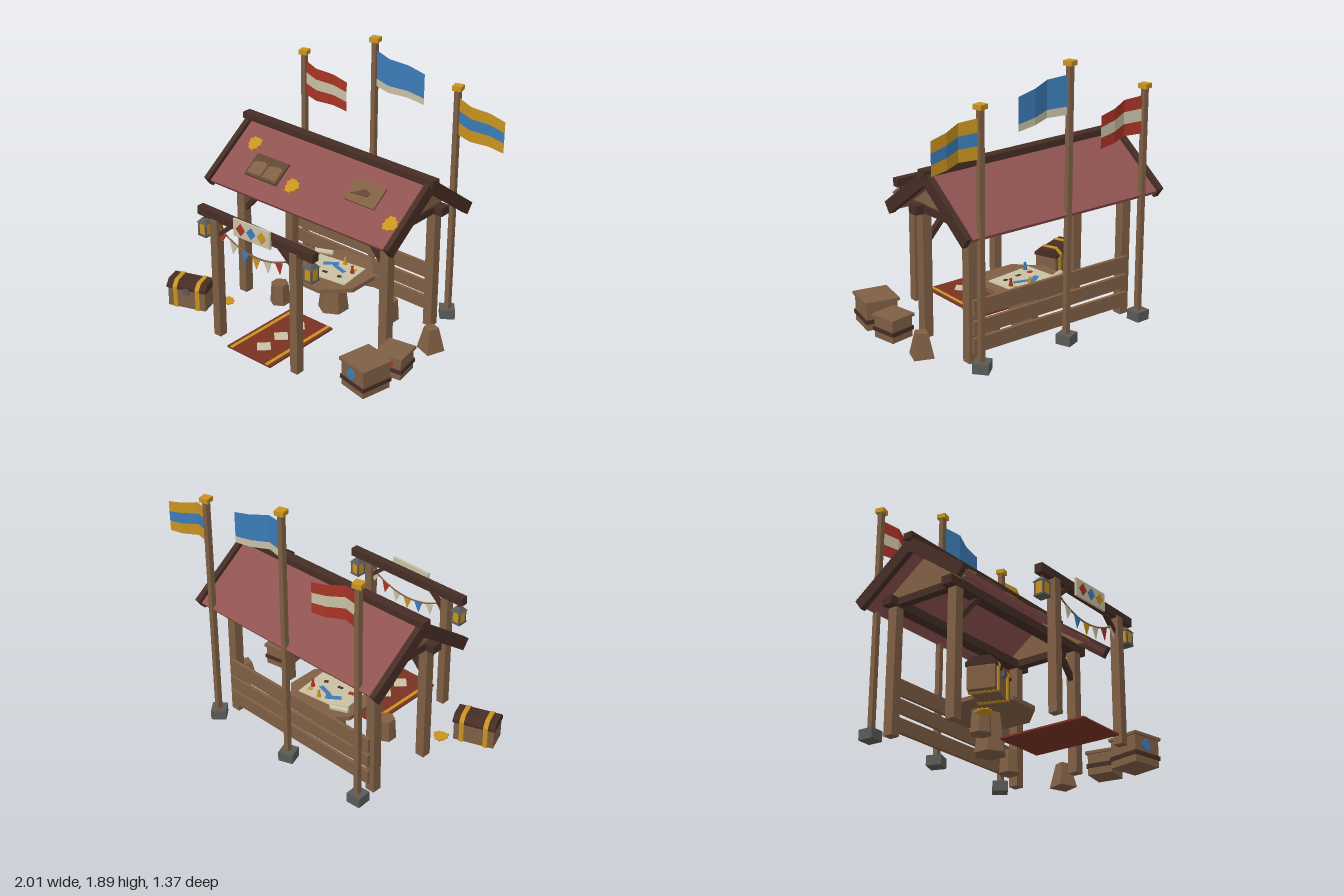
import * as THREE from 'three';

const mat = (name, color, double) => {
  const m = new THREE.MeshStandardMaterial({ color, flatShading: true });
  m.name = name;
  if (double) m.side = THREE.DoubleSide;
  return m;
};

export function createModel() {
  const wood = mat('wood', 0x7f5f44), dark = mat('dark wood', 0x462d25), worn = mat('worn wood', 0x5e4632);
  const rose = mat('roof cloth', 0x8f5250), rug = mat('rug brick', 0x7a3323), gray = mat('iron', 0x5a5b58);
  const red = mat('red', 0xa93325, true), gold = mat('gold', 0xc8921f, true);
  const blue = mat('blue', 0x3b7cb8, true), cream = mat('cream', 0xc9c0a4, true);

  const model = new THREE.Group();
  const add = (name, geo, m, x = 0, y = 0, z = 0, parent = model) => {
    const mesh = new THREE.Mesh(geo, m);
    mesh.name = name;
    mesh.position.set(x, y, z);
    parent.add(mesh);
    return mesh;
  };
  const box = (name, m, w, h, d, x, y, z, parent) => add(name, new THREE.BoxGeometry(w, h, d), m, x, y, z, parent);
  const group = (name, x, y, z, ry = 0, parent = model) => {
    const g = new THREE.Group();
    g.name = name;
    g.position.set(x, y, z);
    g.rotation.y = ry;
    parent.add(g);
    return g;
  };
  const plate = (pts, depth = 0.008) => new THREE.ExtrudeGeometry(
    new THREE.Shape(pts.map(p => new THREE.Vector2(p[0], p[1]))), { depth, bevelEnabled: false });
  const diamond = (w, h) => plate([[0, -h], [w, 0], [0, h], [-w, 0]], 0.006);
  const flat = geo => geo.rotateX(-Math.PI / 2);
  const leaf = (r, seed) => {
    const pts = [];
    for (let i = 0; i < 18; i++) {
      const a = i / 18 * Math.PI * 2, k = r * (i % 2 ? 0.82 : 1) * (1 + 0.1 * Math.sin(a * 3 + seed));
      pts.push([Math.cos(a) * k, Math.sin(a) * k]);
    }
    return flat(plate(pts));
  };
  // square bar between two points in an upright plane
  const bar = (name, m, x1, y1, x2, y2, z, t) => {
    const b = box(name, m, Math.hypot(x2 - x1, y2 - y1), t, t, (x1 + x2) / 2, (y1 + y2) / 2, z);
    b.rotation.z = Math.atan2(y2 - y1, x2 - x1);
  };

  // frame of the stall
  for (const z of [0.04, -0.455]) {
    for (const x of [-0.675, 0.605]) box('stallPost', wood, 0.068, 0.89, 0.068, x, 0.445, z);
    box('eaveBeam', dark, 1.46, 0.06, 0.08, -0.035, 0.9, z);
  }
  for (const x of [-0.675, 0.605]) {
    box('tieBeam', dark, 0.06, 0.05, 0.5, x, 0.902, -0.2);
    const g = plate([[-0.34, 0], [0.34, 0], [0, 0.24]], 0.03);
    g.rotateY(Math.PI / 2);
    add('gable', g, wood, x - 0.015, 0.925, -0.205);
  }
  bar('stallBrace', dark, -0.66, 0.66, -0.46, 0.88, 0.04, 0.035);
  bar('stallBrace', dark, 0.59, 0.66, 0.39, 0.88, 0.04, 0.035);
  [[0.375, 0.11, 0.004], [0.245, 0.095, -0.004], [0.12, 0.1, 0.006]].forEach(([y, h, r]) => {
    box('backPlank', wood, 1.29, h, 0.024, -0.03, y, -0.498).rotation.z = r;
  });

  // roof slopes with edge boards
  const slopes = [0, Math.PI].map(ry => {
    const turn = group('roofSide', -0.04, 1.192, -0.203, ry);
    const slope = group('roofSlope', 0, 0, 0, 0, turn);
    slope.rotation.x = 0.634;
    box('roofPanel', rose, 1.54, 0.03, 0.52, 0, 0, 0.26, slope);
    for (const s of [-1, 1]) box('edgeBoard', dark, 0.04, 0.085, 0.53, s * 0.79, 0, 0.262, slope);
    return slope;
  });
  box('ridgeBeam', dark, 1.66, 0.045, 0.07, -0.04, 1.232, -0.205).rotation.z = -0.013;
  [[-0.62, 0.15], [-0.135, 0.345], [0.7, 0.345]].forEach(([x, z], i) => add('roofLeaf', leaf(0.058, i), gold, x, 0.016, z, slopes[0]));
  add('groundLeaf', leaf(0.055, 2), gold, -0.65, 0.004, 0.26);
  box('roofPatch', worn, 0.29, 0.02, 0.175, -0.395, 0.02, 0.3, slopes[0]);
  for (const s of [-1, 1]) {
    add('patchScrap', flat(plate([[-0.06, -0.065], [0.06, -0.065], [0.062, 0.03], [0.03, 0.045], [-0.03, 0.035], [-0.06, 0.02]], 0.005)),
      wood, -0.395 + s * 0.068, 0.03, 0.305, slopes[0]);
  }
  box('roofPatch', wood, 0.25, 0.02, 0.165, 0.41, 0.02, 0.215, slopes[0]);
  add('patchTear', flat(plate([[-0.09, -0.03], [-0.02, -0.025], [0.04, -0.02], [0.05, 0.01], [0.0, 0.03], [-0.03, 0.005]], 0.005)),
    worn, 0.4, 0.03, 0.215, slopes[0]);

  // flag poles: x, height, flag bands as [from, to, colour] measured downwards
  const zFold = [0, 0.035, -0.01, -0.014], drop = [0, 0.018, 0.045, 0.075];
  const band = (len, h, a, b) => {
    const pos = [], idx = [];
    zFold.forEach((z, i) => {
      const k = h * (1 - 0.05 * i);
      for (const t of [a, b]) pos.push(len * i / 3, -drop[i] - k * t, z);
      if (i < 3) idx.push(2 * i, 2 * i + 1, 2 * i + 2, 2 * i + 1, 2 * i + 3, 2 * i + 2);
    });
    const g = new THREE.BufferGeometry();
    g.setAttribute('position', new THREE.Float32BufferAttribute(pos, 3));
    g.setIndex(idx);
    const flatGeo = g.toNonIndexed();
    flatGeo.computeVertexNormals();
    return flatGeo;
  };
  const thirds = (a, b) => [[0, 0.34, a], [0.34, 0.67, b], [0.67, 1, a]];
  [[-0.685, 1.62, 0.36, 1.57, thirds(red, cream), 0.05],
   [-0.05, 1.86, 0.39, 1.80, [[0, 0.79, blue], [0.79, 1, cream]], 0.35],
   [0.638, 1.695, 0.345, 1.64, thirds(gold, blue), 0.7]].forEach(([x, h, len, top, bands, ry]) => {
    box('flagPole', wood, 0.036, h, 0.036, x, h / 2, -0.615);
    box('poleFoot', gray, 0.105, 0.07, 0.105, x - 0.005, 0.035, -0.615).rotation.y = ry;
    box('poleCap', gold, 0.064, 0.032, 0.064, x, h + 0.014, -0.615).rotation.y = 0.25;
    for (const [a, b, m] of bands) add('flag', band(len, 0.255, a, b), m, x + 0.02, top, -0.612);
  });

  // front gate
  for (const x of [-0.39, 0.31]) box('gatePost', wood, 0.06, 0.88, 0.062, x, 0.44, 0.588);
  box('gateBeam', dark, 1.01, 0.06, 0.055, -0.038, 0.9, 0.582).rotation.z = -0.008;
  bar('gateBrace', dark, -0.37, 0.77, -0.23, 0.89, 0.585, 0.028);
  bar('gateBrace', dark, 0.29, 0.77, 0.15, 0.89, 0.585, 0.028);
  const sign = group('sign', -0.038, 0.905, 0.618);
  sign.rotation.z = 0.02;
  box('signBoard', cream, 0.32, 0.122, 0.016, 0, 0, 0, sign);
  [red, blue, gold].forEach((m, i) => add('signDiamond', diamond(0.038, 0.042), m, (i - 1) * 0.093, 0, 0.008, sign));

  // lanterns
  for (const x of [-0.502, 0.428]) {
    const l = group('lantern', x, 0, 0.58);
    box('lanternHook', dark, 0.014, 0.06, 0.014, 0, 0.86, 0, l);
    add('lanternCap', new THREE.CylinderGeometry(0.025, 0.06, 0.03, 4).rotateY(Math.PI / 4), gray, 0, 0.832, 0, l);
    box('lanternGlass', gold, 0.062, 0.085, 0.062, 0, 0.775, 0, l);
    box('lanternBase', gray, 0.076, 0.014, 0.076, 0, 0.728, 0, l);
    for (const a of [-1, 1]) for (const b of [-1, 1]) box('lanternBar', gray, 0.01, 0.09, 0.01, a * 0.031, 0.775, b * 0.031, l);
  }

  // bunting on a sagging rope
  const sag = x => 0.715 + 0.1 * ((x + 0.04) / 0.32) ** 2;
  const ropePts = [];
  for (let i = 0; i <= 8; i++) ropePts.push(new THREE.Vector3(-0.36 + 0.08 * i, sag(-0.36 + 0.08 * i), 0.585));
  add('buntingRope', new THREE.TubeGeometry(new THREE.CatmullRomCurve3(ropePts), 16, 0.006, 5), wood);
  [red, cream, blue, gold, cream, red, cream].forEach((m, i) => {
    const x = -0.333 + i * 0.0985;
    add('pennant', plate([[-0.036, 0], [0, -0.085], [0.036, 0]], 0.004), m, x, sag(x), 0.584).rotation.z = (i - 3) * 0.07;
  });

  // table with map and playing pieces
  add('tableTop', new THREE.CylinderGeometry(0.3, 0.3, 0.03, 8).rotateY(Math.PI / 8), wood, -0.04, 0.29, -0.18);
  add('tableTrunk', new THREE.CylinderGeometry(0.075, 0.11, 0.275, 6), wood, -0.035, 0.138, -0.18);
  const map = group('map', -0.04, 0.305, -0.17, 0.12);
  box('mapSheet', cream, 0.38, 0.006, 0.27, 0, 0.003, 0, map);
  [[blue, 0.11, 0.035, -0.05, -0.06, 0.5], [blue, 0.12, 0.03, 0.04, -0.03, -0.4], [red, 0.04, 0.03, -0.12, 0.05, 0.2],
   [dark, 0.03, 0.025, 0.1, 0.06, 0.4], [dark, 0.04, 0.02, -0.02, 0.06, 0], [gold, 0.03, 0.03, 0.14, -0.07, 0.3]].forEach(([m, w, d, x, z, r]) => {
    box('mapMark', m, w, 0.003, d, x, 0.0075, z, map).rotation.y = r;
  });
  [[blue, -0.155, -0.05], [red, 0.1, -0.22], [gold, -0.015, -0.28]].forEach(([m, x, z]) => {
    add('gamePiece', new THREE.CylinderGeometry(0.006, 0.017, 0.045, 6), m, x, 0.333, z);
    add('gamePieceHead', new THREE.IcosahedronGeometry(0.011, 0), m, x, 0.358, z);
  });
  add('scroll', new THREE.CylinderGeometry(0.02, 0.02, 0.13, 7).rotateZ(Math.PI / 2), cream, -0.225, 0.328, -0.3).rotation.y = 0.4;

  // stools and stump
  for (const [x, z] of [[-0.37, 0.01], [0.35, -0.32]]) add('stool', new THREE.CylinderGeometry(0.062, 0.072, 0.155, 6), wood, x, 0.078, z);
  add('stump', new THREE.CylinderGeometry(0.05, 0.095, 0.17, 4).rotateY(Math.PI / 4), wood, 0.805, 0.085, -0.2).rotation.y = -0.35;

  // rug
  box('rug', rug, 0.39, 0.012, 0.63, -0.04, 0.006, 0.365);
  for (const s of [-1, 1]) box('rugStripe', gold, 0.025, 0.004, 0.63, -0.04 + s * 0.16, 0.013, 0.365);
  for (const z of [0.19, 0.36, 0.53]) add('rugDiamond', flat(diamond(0.065, 0.065)), cream, -0.04, 0.01, z);

  // crates: x, z, turn, width, height, emblem colour
  [[0.75, 0.42, -0.2, 0.235, 0.205, blue], [0.785, 0.16, 0.17, 0.19, 0.165, red]].forEach(([x, z, ry, w, h, m]) => {
    const c = group('crate', x, 0, z, ry);
    box('crateBody', wood, w - 0.015, h, w - 0.015, 0, h / 2, 0, c);
    box('crateLid', wood, w + 0.01, 0.02, w + 0.01, 0, h - 0.01, 0, c);
    box('crateBand', dark, w, 0.028, w, 0, 0.062, 0, c);
    add('crateEmblem', diamond(0.048, 0.046), m, -0.01, h * 0.62, w / 2 - 0.006, c);
  });

  // chest with faceted lid, straps and lock
  const chest = group('chest', -0.83, 0, 0.43, 0.35);
  const prism = (pts, len) => plate(pts, len).translate(0, 0, -len / 2).rotateY(Math.PI / 2);
  const lid = k => [[-0.092 - k, 0.145], [0.092 + k, 0.145], [0.092 + k, 0.165], [0.055, 0.2 + k], [-0.055, 0.2 + k], [-0.092 - k, 0.165]];
  box('chestBody', wood, 0.285, 0.15, 0.168, 0, 0.077, 0, chest);
  add('chestLid', prism(lid(0), 0.3), dark, 0, 0, 0, chest);
  for (const x of [-0.085, 0.085]) {
    box('chestStrap', gold, 0.032, 0.15, 0.184, x, 0.075, 0, chest);
    add('lidStrap', prism(lid(0.006), 0.032), gold, x, 0, 0, chest);
  }
  box('chestLock', gray, 0.045, 0.045, 0.02, 0, 0.135, 0.09, chest);
  return model;
}
